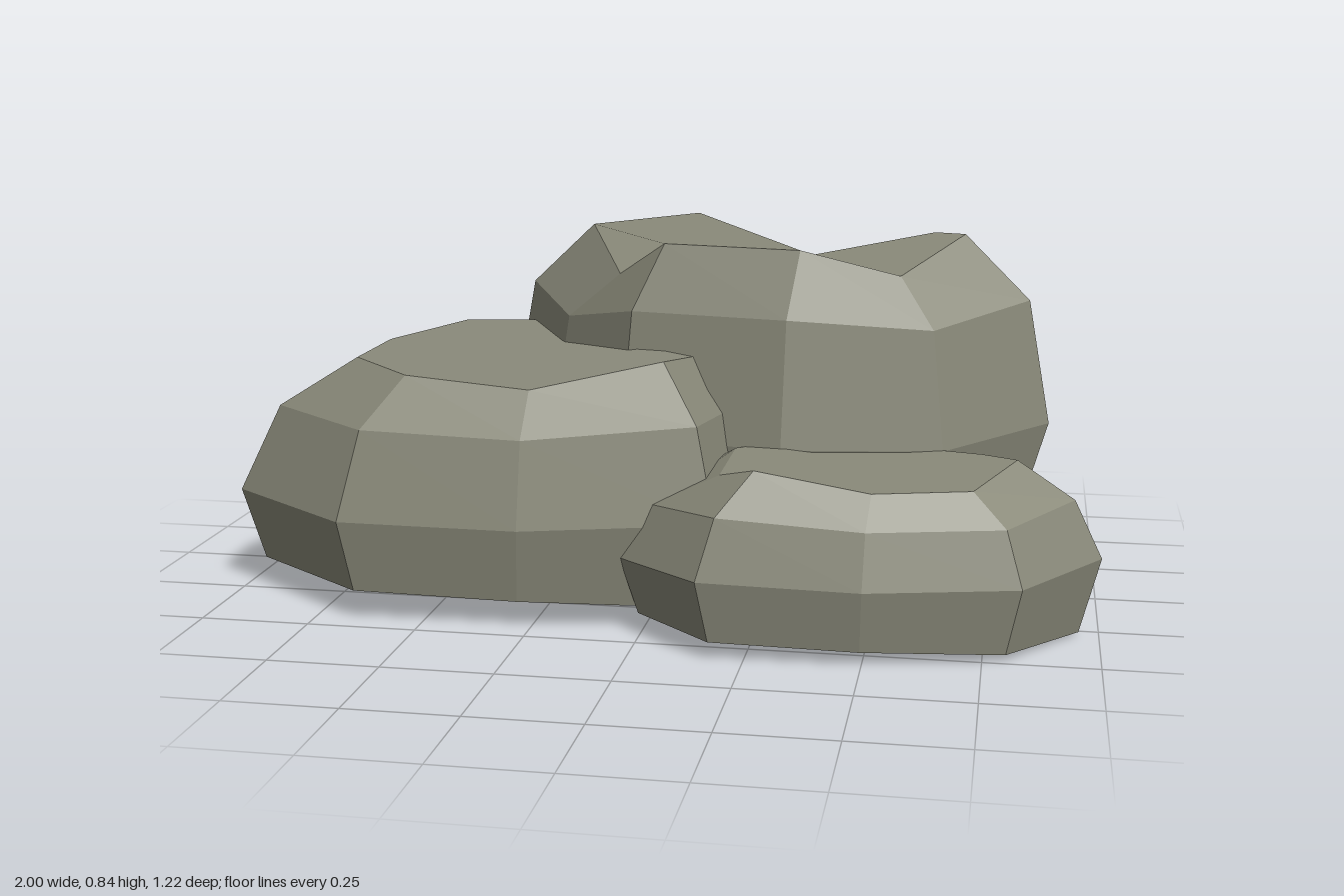
import * as THREE from 'three';

const material = new THREE.MeshStandardMaterial({ color: 0x8a8a7a });

// Zigzag triangulation of a nine-sided, slightly warped cap
const CAP_TRIANGLES = [[5, 4, 3], [6, 5, 3], [6, 3, 2], [7, 6, 2], [7, 2, 1], [8, 7, 1], [8, 1, 0]];
const QUAD_TRIANGLES = [[0, 1, 2], [0, 2, 3]];

// One normal for a whole, possibly warped polygon
function polygonNormal(polygon) {
  const normal = new THREE.Vector3();
  polygon.forEach((p, i) => {
    const q = polygon[(i + 1) % polygon.length];
    normal.add(new THREE.Vector3().crossVectors(p, q));
  });
  return normal.normalize();
}

// Faceted boulder. Outline: [x, z] at its widest ring; cap: [x, y, z] of the top rim.
// The base and shoulder rings are derived from these two.
function boulder(name, { outline, cap, waistY, shoulderDrop, shoulderIn, baseY, baseScale }) {
  const n = outline.length;
  const average = (ring) => ring
    .reduce((sum, p) => sum.add(p), new THREE.Vector3())
    .divideScalar(n);

  const top = cap.map((p) => new THREE.Vector3(...p));
  const capY = average(top).y;
  const waist = outline.map(([x, z], i) =>
    new THREE.Vector3(x, waistY + (top[i].y - capY) * 0.25, z));
  const middle = average(waist);
  const base = waist.map((p, i) => {
    const q = p.clone().lerp(middle, 1 - baseScale);
    q.y = baseY - 0.02 * Math.cos((i + 1) / n * Math.PI * 2);
    return q;
  });
  const shoulder = waist.map((p, i) => {
    const q = p.clone().lerp(top[i], shoulderIn);
    q.y = (top[i].y + capY) / 2 - shoulderDrop;
    return q;
  });

  const points = [], normals = [];
  const addFace = (polygon, triangles, normal) => {
    for (const index of triangles.flat()) {
      points.push(polygon[index]);
      normals.push(...normal.toArray());
    }
  };

  // Side walls
  const rings = [base, waist, shoulder, top];
  for (let r = 0; r < rings.length - 1; r++) {
    const lower = rings[r], upper = rings[r + 1];
    for (let i = 0; i < n; i++) {
      const j = (i + 1) % n;
      const quad = [lower[i], upper[i], upper[j], lower[j]];
      addFace(quad, QUAD_TRIANGLES, polygonNormal(quad));
    }
  }
  // Top and underside
  addFace(top, CAP_TRIANGLES, polygonNormal(top).negate());
  addFace(base, CAP_TRIANGLES.map(([a, b, c]) => [a, c, b]), polygonNormal(base));

  const geometry = new THREE.BufferGeometry().setFromPoints(points);
  geometry.setAttribute('normal', new THREE.Float32BufferAttribute(normals, 3));
  const mesh = new THREE.Mesh(geometry, material);
  mesh.name = name;
  return mesh;
}

export function createModel() {
  const group = new THREE.Group();
  group.name = 'rockPile';

  // Tall boulder at the back
  group.add(boulder('tallBoulder', {
    outline: [[0.88, -0.18], [0.64, 0.08], [0.28, 0.21], [-0.1, 0.15], [-0.31, -0.05],
      [-0.47, -0.32], [-0.12, -0.49], [0.27, -0.53], [0.74, -0.47]],
    cap: [[0.67, 0.83, -0.17], [0.53, 0.75, 0], [0.31, 0.82, 0.12], [0, 0.83, 0.13], [-0.13, 0.74, 0],
      [-0.24, 0.83, -0.22], [-0.01, 0.84, -0.42], [0.28, 0.74, -0.41], [0.59, 0.81, -0.36]],
    waistY: 0.37, shoulderDrop: 0.14, shoulderIn: 0.26, baseY: 0.085, baseScale: 0.87,
  }));

  // Wide boulder on the right-hand side
  group.add(boulder('wideBoulder', {
    outline: [[0.19, 0.1], [0.16, 0.4], [-0.27, 0.475], [-0.68, 0.485], [-1, 0.24],
      [-0.92, -0.08], [-0.68, -0.33], [-0.3, -0.37], [0.04, -0.24]],
    cap: [[0.1, 0.57, 0.08], [0.03, 0.59, 0.31], [-0.26, 0.53, 0.38], [-0.55, 0.55, 0.36], [-0.72, 0.555, 0.19],
      [-0.71, 0.56, -0.03], [-0.57, 0.58, -0.23], [-0.3, 0.58, -0.27], [-0.05, 0.58, -0.18]],
    waistY: 0.24, shoulderDrop: 0.12, shoulderIn: 0.35, baseY: 0.05, baseScale: 0.92,
  }));

  // Low boulder at the front
  group.add(boulder('frontBoulder', {
    outline: [[1, 0.27], [0.83, 0.51], [0.5, 0.595], [0.15, 0.61], [-0.05, 0.42],
      [-0.01, 0.16], [0.2, 0], [0.55, -0.03], [0.86, 0]],
    cap: [[0.81, 0.39, 0.27], [0.72, 0.355, 0.43], [0.51, 0.36, 0.51], [0.26, 0.4, 0.51], [0.17, 0.36, 0.4],
      [0.18, 0.38, 0.22], [0.3, 0.37, 0.07], [0.53, 0.36, 0.05], [0.73, 0.36, 0.1]],
    waistY: 0.17, shoulderDrop: 0.075, shoulderIn: 0.33, baseY: 0.02, baseScale: 0.92,
  }));

  // Small boulder tucked in behind
  group.add(boulder('smallBoulder', {
    outline: [[-0.14, -0.36], [-0.27, -0.2], [-0.5, -0.1], [-0.78, -0.11], [-0.96, -0.22],
      [-1, -0.43], [-0.73, -0.54], [-0.49, -0.61], [-0.21, -0.53]],
    cap: [[-0.27, 0.25, -0.36], [-0.36, 0.25, -0.27], [-0.52, 0.26, -0.2], [-0.7, 0.25, -0.2], [-0.82, 0.25, -0.28],
      [-0.83, 0.24, -0.41], [-0.69, 0.24, -0.51], [-0.5, 0.24, -0.52], [-0.27, 0.25, -0.46]],
    waistY: 0.12, shoulderDrop: 0.05, shoulderIn: 0.4, baseY: 0.04, baseScale: 0.93,
  }));

  return group;
}
